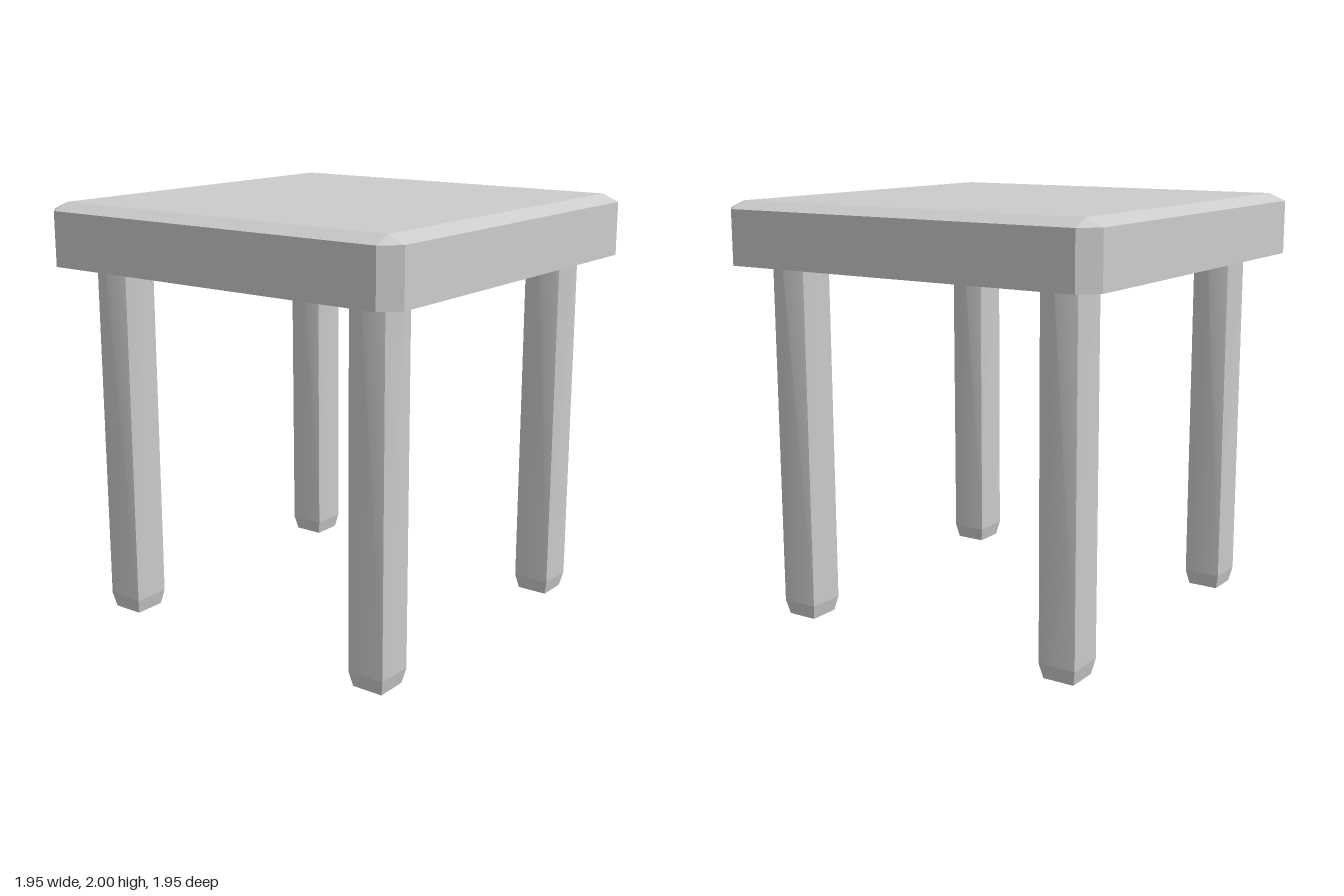
import * as THREE from 'three';
import { ConvexGeometry } from 'three/addons/geometries/ConvexGeometry.js';
import { toCreasedNormals } from 'three/addons/utils/BufferGeometryUtils.js';

// Mirrors one corner point (x, z) into all four quadrants at height y
function quad(x, y, z) {
  return [[1, 1], [-1, 1], [-1, -1], [1, -1]].map(([a, b]) => new THREE.Vector3(a * x, y, b * z));
}

// Convex solid spanning the given points
function solid(name, points, crease, material) {
  const mesh = new THREE.Mesh(toCreasedNormals(new ConvexGeometry(points), crease), material);
  mesh.name = name;
  return mesh;
}

export function createModel() {
  const group = new THREE.Group();
  group.name = 'sideTable';
  const material = new THREE.MeshStandardMaterial({ color: 0xcccccc });

  // Top slab: clipped vertical corners, bevelled upper edge
  const half = 0.977, clip = 0.898, under = 1.71, shoulder = 1.965;
  group.add(solid('tableTop', [
    ...quad(half, under, clip), ...quad(clip, under, half),
    ...quad(half, shoulder, clip), ...quad(clip, shoulder, half),
    ...quad(0.895, 2, 0.895),
  ], 0.05, material));

  // Legs: square at the foot, swelling to an octagon under the slab
  const s = 0.09, bulge = 0.128, tip = 0.075, ankle = 0.07;
  const legs = [
    ['frontLeftLeg', 0.703, 0, 0.737],
    ['frontRightLeg', -0.722, 0.01, 0.737],
    ['backLeftLeg', 0.703, 0.005, -0.715],
    ['backRightLeg', -0.722, 0.01, -0.715],
  ];
  for (const [name, x, y, z] of legs) {
    const leg = new THREE.Group();
    leg.name = name;
    const top = under + 0.005 - y;
    const middles = [[1, 0], [-1, 0], [0, 1], [0, -1]]
      .map(([a, b]) => new THREE.Vector3(a * bulge, top, b * bulge));
    leg.add(solid('post', [...quad(s, ankle, s), ...quad(s, top, s), ...middles], 0.5, material));
    // Tapered foot
    leg.add(solid('foot', [...quad(s, ankle, s), ...quad(tip, 0, tip)], 0.05, material));
    leg.position.set(x, y, z);
    group.add(leg);
  }
  return group;
}
